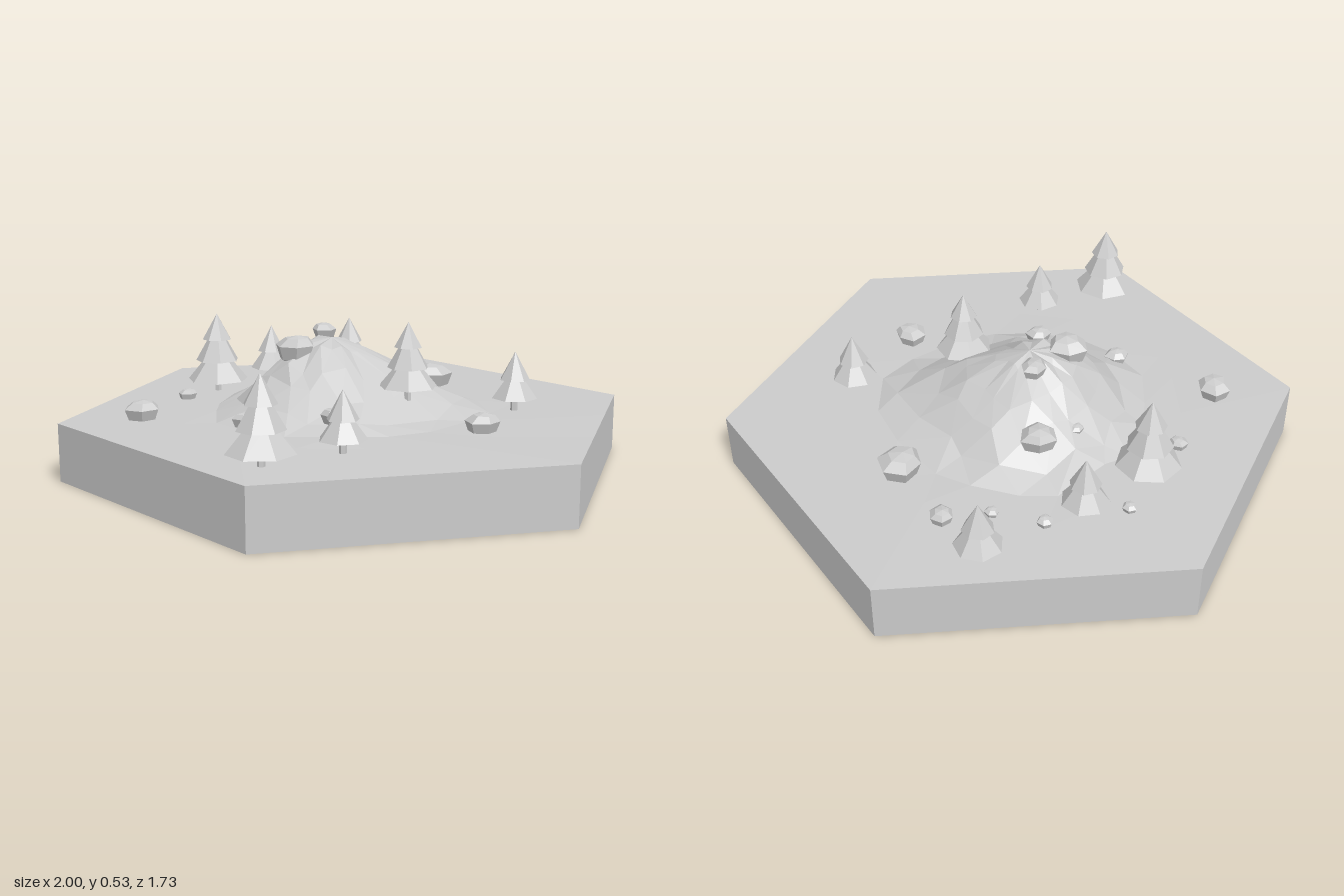
import * as THREE from 'three';

const stone = new THREE.MeshStandardMaterial({ color: 0xcccccc, flatShading: true, side: THREE.DoubleSide });
stone.name = 'plain grey';

const BASE = 0.2; // height of the tile's flat ground
const HILL = { x: -0.06, z: 0.03, height: 0.25 };
// Hill radius and slope shape every 45 degrees, from +x towards +z
const RADII = [0.52, 0.5, 0.47, 0.43, 0.43, 0.52, 0.48, 0.6];
const SLOPES = [0.78, 0.95, 1.15, 1.1, 1.1, 1, 1, 0.92];

function seeded(seed) {
  return () => {
    seed = (seed * 16807) % 2147483647;
    return seed / 2147483647;
  };
}

function around(table, angle) {
  const f = ((angle / (Math.PI / 4)) % 8 + 8) % 8;
  const i = Math.floor(f);
  return THREE.MathUtils.lerp(table[i % 8], table[(i + 1) % 8], f - i);
}

function groundHeight(x, z) {
  const dx = x - HILL.x, dz = z - HILL.z;
  const a = Math.atan2(dz, dx);
  const t = Math.min(1, Math.hypot(dx, dz) / around(RADII, a));
  return BASE + HILL.height * 0.5 * (1 + Math.cos(Math.PI * Math.pow(t, around(SLOPES, a))));
}

// Faceted ground: jittered rings over the hill, ending on the hexagon's edge
function terrainGeometry() {
  const rand = seeded(77);
  const n = 18;
  const rings = [0.2, 0.38, 0.56, 0.75, 0.95, 1.2].map((t, k) =>
    Array.from({ length: n }, (_, i) => {
      const a = ((i + (k % 2) * 0.5 + (rand() - 0.5) * 0.5) / n) * Math.PI * 2;
      const r = around(RADII, a) * (t + (rand() - 0.5) * 0.09);
      const x = HILL.x + Math.cos(a) * r, z = HILL.z + Math.sin(a) * r;
      const bump = (rand() - 0.5) * (k < 4 ? 0.02 : 0.004);
      return [x, Math.max(BASE + 0.001, groundHeight(x, z) + bump), z];
    }));
  const corner = (i) => [Math.cos(i * Math.PI / 3), Math.sin(i * Math.PI / 3)];
  rings.push(Array.from({ length: n }, (_, i) => {
    const [ax, az] = corner(Math.floor(i / 3)), [bx, bz] = corner(Math.floor(i / 3) + 1);
    const f = (i % 3) / 3;
    return [ax + (bx - ax) * f, BASE, az + (bz - az) * f];
  }));
  const peak = [HILL.x, BASE + HILL.height, HILL.z];
  const pos = [];
  for (let i = 0; i < n; i++) {
    const j = (i + 1) % n;
    pos.push(...peak, ...rings[0][j], ...rings[0][i]);
    for (let k = 0; k < rings.length - 1; k++) {
      const p = rings[k], q = rings[k + 1];
      if (k % 2) pos.push(...p[i], ...p[j], ...q[j], ...p[i], ...q[j], ...q[i]);
      else pos.push(...p[i], ...p[j], ...q[i], ...p[j], ...q[j], ...q[i]);
    }
  }
  const geo = new THREE.BufferGeometry();
  geo.setAttribute('position', new THREE.Float32BufferAttribute(pos, 3));
  geo.computeVertexNormals();
  return geo;
}

function addMesh(parent, name, geometry) {
  const mesh = new THREE.Mesh(geometry, stone);
  mesh.name = name;
  parent.add(mesh);
  return mesh;
}

// Conifer of stacked seven-sided skirts; tiers are [base, radius] fractions
function makeTree(radius, height, tiers) {
  const tree = new THREE.Group();
  tree.name = 'tree';
  const trunk = addMesh(tree, 'trunk', new THREE.CylinderGeometry(0.011, 0.013, height * 0.4 + 0.03, 6));
  trunk.position.y = height * 0.2 - 0.015;
  tiers.forEach(([base, r], i) => {
    const last = i === tiers.length - 1;
    const top = last ? 1 : tiers[i + 1][0] + 0.05;
    const h = (top - base) * height;
    const topRadius = last ? 0 : tiers[i + 1][1] * radius * 0.5;
    const tier = addMesh(tree, 'foliage', new THREE.CylinderGeometry(topRadius, r * radius, h, 7));
    tier.position.y = base * height + h / 2;
    tier.rotation.y = i * 0.15;
  });
  return tree;
}

// Boulder: a jittered six-sided lump, widest above its middle
function makeRock(r, seed) {
  const rand = seeded(seed * 911 + 13);
  const profile = [[0, -0.3], [0.78, -0.05], [1.02, 0.62], [0.62, 0.98], [0, 1.1]];
  const geo = new THREE.LatheGeometry(profile.map(([x, y]) => new THREE.Vector2(x * r, y * r)), 6);
  const p = geo.attributes.position;
  const rows = profile.length;
  const shiftX = (rand() - 0.5) * 0.3 * r, shiftZ = (rand() - 0.5) * 0.3 * r;
  const side = Array.from({ length: 6 }, () => 0.86 + rand() * 0.24);
  for (let i = 0; i < p.count; i++) {
    const s = side[Math.floor(i / rows) % 6];
    const lean = Math.max(0, p.getY(i) / r - 0.6) * 2;
    p.setX(i, p.getX(i) * s + shiftX * lean);
    p.setZ(i, p.getZ(i) * s + shiftZ * lean);
  }
  geo.computeVertexNormals();
  return geo;
}

export function createModel() {
  const model = new THREE.Group();
  model.name = 'hillTile';

  // Open hexagonal rim and ground
  const rim = addMesh(model, 'tileRim', new THREE.CylinderGeometry(1, 1, BASE, 6, 1, true, Math.PI / 6 * 3));
  rim.position.y = BASE / 2;
  addMesh(model, 'hillGround', terrainGeometry());

  const tall = [[0.15, 1], [0.4, 0.71], [0.67, 0.48]];
  const short = [[0.22, 1], [0.53, 0.66]];
  // x, ground y, z, radius, height, tiers
  const trees = [
    [-0.56, BASE, 0.15, 0.112, 0.29, tall],
    [0.375, BASE, 0.705, 0.11, 0.28, tall],
    [0.25, 0.275, -0.035, 0.1, 0.258, tall],
    [0.41, BASE, -0.4, 0.08, 0.208, short],
    [-0.56, BASE, -0.52, 0.08, 0.203, short],
    [-0.59, BASE, -0.135, 0.08, 0.21, short],
    [0.43, BASE, 0.43, 0.078, 0.2, short],
  ];
  trees.forEach(([x, y, z, r, h, tiers], i) => {
    const tree = makeTree(r, h, tiers);
    tree.position.set(x, y, z);
    tree.rotation.y = i * 0.4;
    model.add(tree);
  });

  // x, ground y, z, radius
  const rocks = [
    [-0.365, BASE, -0.53, 0.043], [-0.09, BASE, -0.515, 0.075],
    [-0.435, BASE, -0.385, 0.024], [-0.57, BASE, -0.275, 0.028],
    [-0.32, 0.285, -0.12, 0.065], [-0.155, 0.435, -0.025, 0.045],
    [-0.325, 0.27, 0.03, 0.027], [-0.67, BASE, -0.015, 0.025],
    [-0.095, 0.39, 0.17, 0.072], [-0.52, BASE, 0.32, 0.034],
    [0.225, 0.235, 0.275, 0.045], [-0.02, 0.21, 0.45, 0.042],
    [-0.37, BASE, 0.615, 0.06], [0.535, BASE, -0.09, 0.057],
  ];
  rocks.forEach(([x, y, z, r], i) => {
    const rock = addMesh(model, 'rock', makeRock(r, i + 1));
    rock.position.set(x, y, z);
    rock.rotation.y = i * 1.3;
  });

  return model;
}
